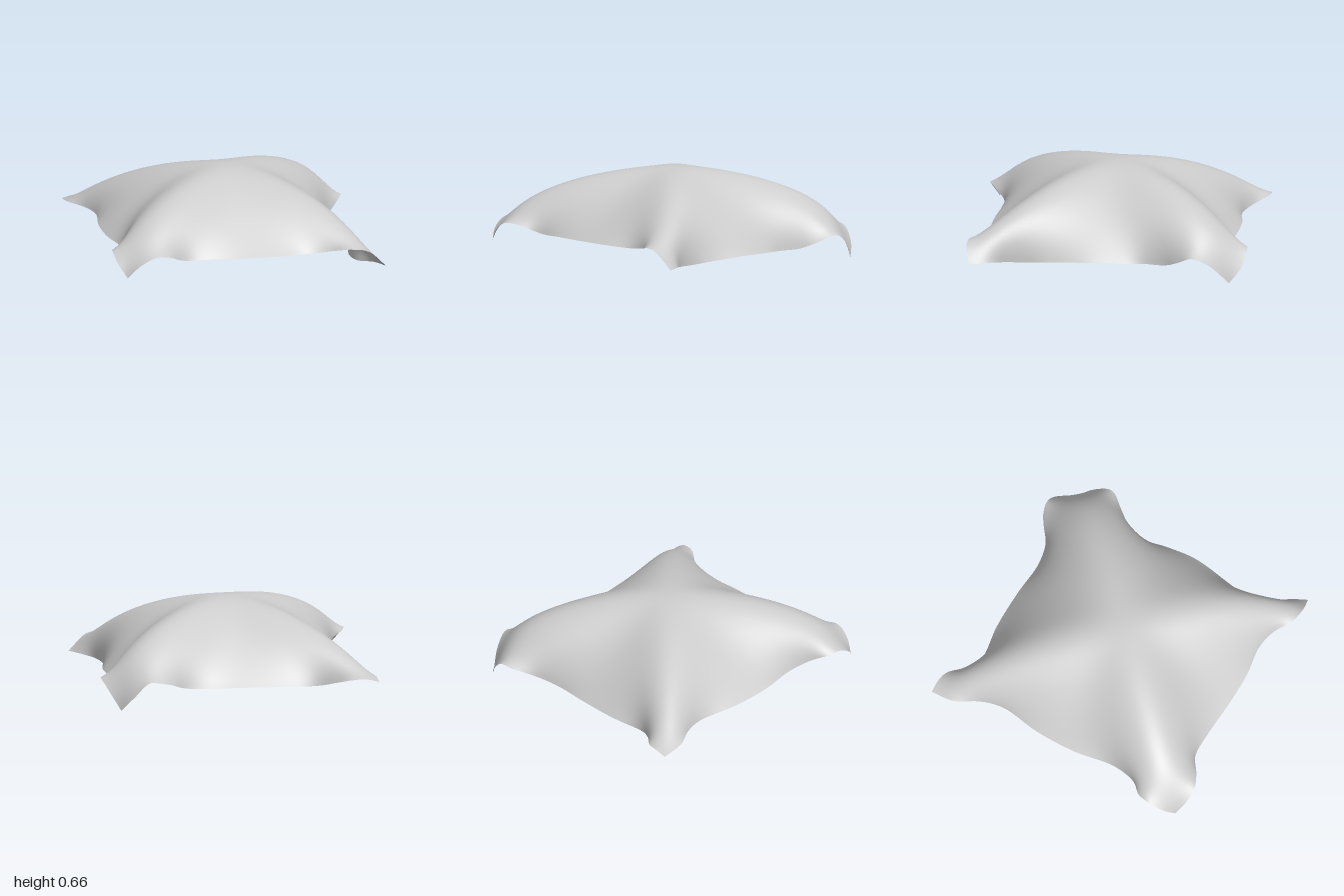
import * as THREE from 'three';

const { lerp, smoothstep, clamp } = THREE.MathUtils;
const APEX = 0.668;
const SEGMENTS = 72;

// One side of the cloth: shoulder height of its face, and its hem from corner to corner (x, y, z).
const makeSide = (shoulder, pts) => {
  const hem = new THREE.CatmullRomCurve3(pts.map((p) => new THREE.Vector3(...p)));
  hem.arcLengthDivisions = 400;
  return { shoulder, hem };
};
const front = makeSide(0.42, [ // left to right in x
  [-0.9, 0.12, 0.94], [-0.82, 0.21, 0.98], [-0.71, 0.27, 0.99], [-0.6, 0.255, 0.94],
  [-0.48, 0.205, 0.865], [-0.3, 0.2, 0.86], [0, 0.2, 0.88], [0.25, 0.2, 0.88],
  [0.45, 0.2, 0.855], [0.6, 0.22, 0.89], [0.72, 0.245, 0.97], [0.83, 0.23, 0.99], [0.965, 0.11, 0.965],
]);
const back = makeSide(0.36, [
  [-0.97, 0.18, -1], [-0.88, 0.2, -1], [-0.8, 0.195, -0.98], [-0.68, 0.16, -0.88],
  [-0.57, 0.133, -0.825], [-0.3, 0.135, -0.85], [0, 0.135, -0.845], [0.25, 0.13, -0.825],
  [0.41, 0.145, -0.855], [0.5, 0.18, -0.92], [0.58, 0.2, -0.97], [0.67, 0.21, -0.99],
  [0.78, 0.1, -0.96], [0.86, 0, -0.88],
]);
const right = makeSide(0.41, [ // +x side, back to front in z
  [0.86, 0, -0.88], [0.94, 0.14, -0.75], [0.97, 0.2, -0.63], [0.9, 0.15, -0.52],
  [0.83, 0.11, -0.42], [0.79, 0.105, -0.28], [0.82, 0.11, -0.1], [0.84, 0.115, 0.12],
  [0.8, 0.1, 0.42], [0.78, 0.09, 0.57], [0.81, 0.095, 0.73], [0.9, 0.11, 0.84], [0.965, 0.11, 0.965],
]);
const left = makeSide(0.45, [
  [-0.97, 0.18, -1], [-0.96, 0.2, -0.83], [-0.87, 0.2, -0.66], [-0.83, 0.195, -0.5],
  [-0.87, 0.195, -0.2], [-0.87, 0.195, 0.1], [-0.83, 0.2, 0.4], [-0.87, 0.225, 0.58],
  [-0.95, 0.26, 0.67], [-0.97, 0.27, 0.75], [-0.95, 0.2, 0.87], [-0.9, 0.12, 0.94],
]);

// Ridge of each corner: shoulder height, rim height, breadth, sharpness of the hanging tip
const pointed = { shoulder: 0.48, rim: 0.25, full: 1, sharpness: 6 };
const foldedFront = { shoulder: 0.56, rim: 0.31, full: 0.85, sharpness: 9 };
const foldedBack = { shoulder: 0.52, rim: 0.27, full: 0.85, sharpness: 9 };

const bezier = (a, b, c, d, t) => {
  const s = 1 - t;
  return a * s * s * s + 3 * b * s * s * t + 3 * c * s * t * t + d * t * t * t;
};

// Where a point (u, v) of the flat square sheet ends up on the draped cloth.
function drape(u, v) {
  const r = Math.max(Math.abs(u), Math.abs(v));
  if (r < 1e-6) return new THREE.Vector3(0, APEX, 0);
  const du = u / r, dv = v / r;
  const onSide = Math.abs(u) > Math.abs(v);
  const along = onSide ? dv : du;
  const side = onSide ? (u > 0 ? right : left) : (v > 0 ? front : back);
  const edge = side.hem.getPointAt(clamp((along + 1) / 2, 0, 1));
  const corner = u * v > 0 ? pointed : v > 0 ? foldedFront : foldedBack;

  // Smooth dome with four diagonal ridges
  const ridge = smoothstep(Math.abs(along), 0, corner.full);
  const reach = lerp(0.85, 0.93, ridge);
  const rim = new THREE.Vector3(du * reach, lerp(0.16, corner.rim, ridge), dv * reach);
  const out = bezier(0, 0.35, 0.75, 1, r);
  const y = bezier(APEX, APEX, lerp(side.shoulder, corner.shoulder, ridge), rim.y, r);
  const p = new THREE.Vector3(rim.x * out, y, rim.z * out);

  // Folds and hanging corners, fading in towards the hem
  return p.addScaledVector(edge.sub(rim), Math.pow(r, lerp(5, corner.sharpness, ridge)));
}

// Soften the ridges by averaging neighbours, with the hem held in place.
function relax(array, passes) {
  const row = (SEGMENTS + 1) * 3;
  for (let n = 0; n < passes; n++) {
    const old = array.slice();
    for (let j = 1; j < SEGMENTS; j++) {
      for (let k = j * row + 3; k < (j + 1) * row - 3; k++) {
        array[k] = (old[k - 3] + old[k + 3] + old[k - row] + old[k + row]) / 4;
      }
    }
  }
}

export function createModel() {
  const group = new THREE.Group();
  group.name = 'drapedCloth';

  const geometry = new THREE.PlaneGeometry(2, 2, SEGMENTS, SEGMENTS).rotateX(-Math.PI / 2);
  const pos = geometry.attributes.position;
  for (let i = 0; i < pos.count; i++) {
    const p = drape(pos.getX(i), pos.getZ(i));
    pos.setXYZ(i, p.x, p.y, p.z);
  }
  relax(pos.array, 20);
  geometry.computeVertexNormals();

  const cloth = new THREE.Mesh(
    geometry,
    new THREE.MeshStandardMaterial({ color: 0xcccccc, side: THREE.DoubleSide }),
  );
  cloth.name = 'cloth';
  group.add(cloth);
  return group;
}
